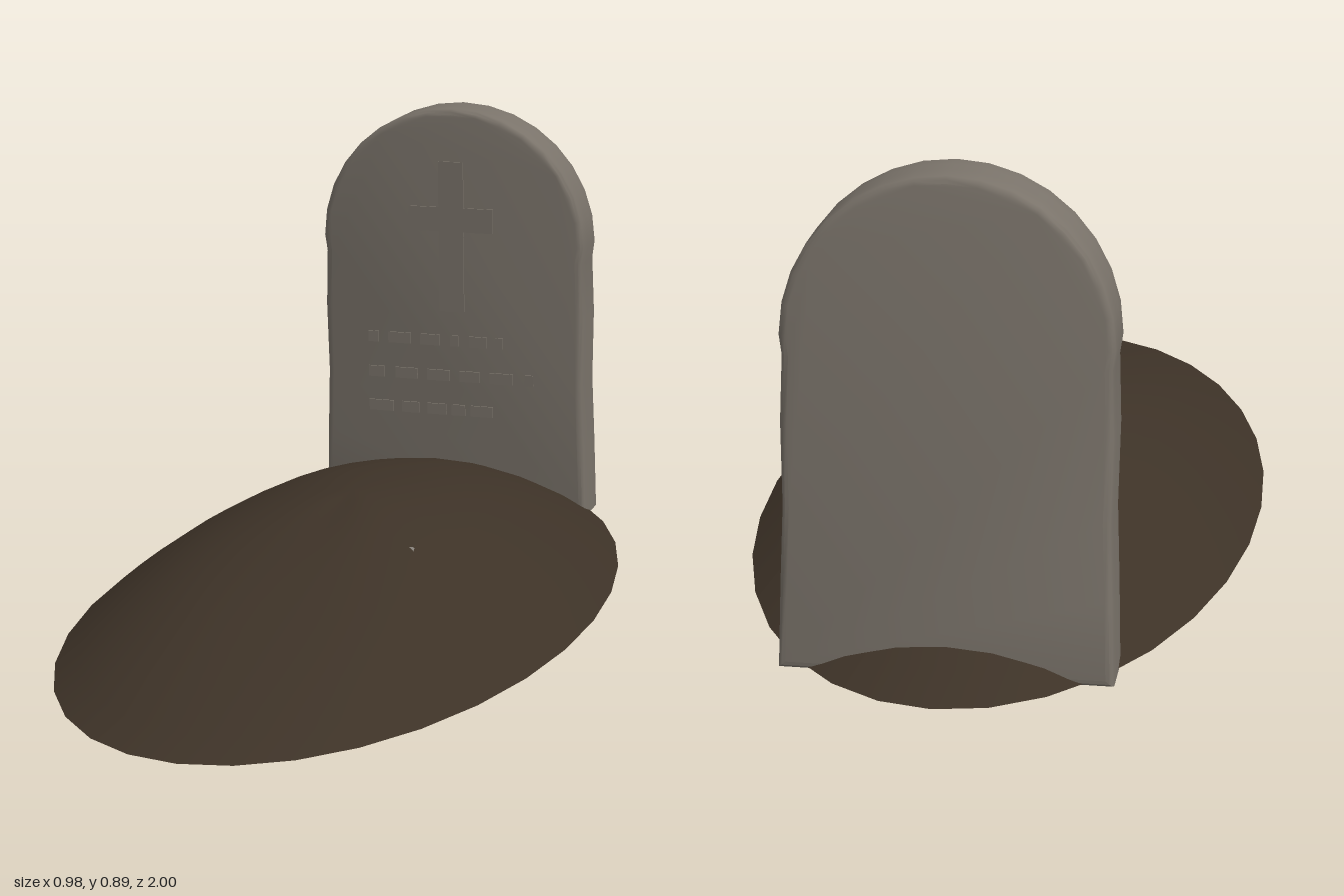
import * as THREE from 'three';
import { mergeVertices, toCreasedNormals } from 'three/addons/utils/BufferGeometryUtils.js';

const stone = new THREE.MeshStandardMaterial({ color: 0x7a736a });
stone.name = 'weathered stone';
const soil = new THREE.MeshStandardMaterial({ color: 0x3d3227, side: THREE.DoubleSide });
soil.name = 'dark soil';
const pebble = new THREE.MeshStandardMaterial({ color: 0x87827b, flatShading: true });
pebble.name = 'pebble grey';

const LEAN = 0.062;    // backward-to-forward slope of the headstone
const FRONT = -0.747;  // z of its front face at ground level
const DEPTH = 0.121;

function part(name, geometry, material) {
  const mesh = new THREE.Mesh(geometry, material);
  mesh.name = name;
  return mesh;
}

// Move every vertex of a geometry by a rule
function warp(geometry, rule) {
  const pos = geometry.attributes.position;
  const v = new THREE.Vector3();
  for (let i = 0; i < pos.count; i++) {
    rule(v.fromBufferAttribute(pos, i));
    pos.setXYZ(i, v.x, v.y, v.z);
  }
  geometry.computeVertexNormals();
  return geometry;
}

const lean = (geometry) => warp(geometry, (v) => { v.z += FRONT + LEAN * v.y; });

// Oval heap, open underneath, sloping more gently toward the front
function createMound() {
  let geo = new THREE.RingGeometry(0, 1, 32, 12).rotateX(-Math.PI / 2);
  geo.deleteAttribute('uv');
  geo.deleteAttribute('normal');
  geo = mergeVertices(geo, 1e-4);
  warp(geo, (v) => {
    const t = Math.min(1, Math.hypot(v.x, v.z));
    const frontness = t > 0 ? Math.max(0, v.z / t) : 0;
    const power = 1.9 - 0.62 * frontness * frontness;
    const lumps = 0.004 * Math.sin(v.x * 9 + 1) * Math.sin(v.z * 7) * (1 - t);
    v.set(v.x * 0.488, 0.01 + 0.225 * (1 - Math.pow(t, power)) + lumps, v.z);
  });
  return part('soilMound', geo, soil);
}

// Arched slab with softened edges and slightly worn sides
function createSlab() {
  const bevel = 0.014;
  const r = 0.29 - bevel;
  const points = [];
  const side = [[0.281, 0.019], [0.277, 0.16], [0.272, 0.3], [0.275, 0.45], [0.271, 0.57]];
  for (const [x, y] of side) points.push(new THREE.Vector2(x, y));
  for (let i = 0; i <= 16; i++) {
    const a = (i / 16) * Math.PI;
    points.push(new THREE.Vector2(r * Math.cos(a), 0.605 + r * Math.sin(a)));
  }
  for (const [x, y] of side.slice().reverse()) points.push(new THREE.Vector2(-x, y));
  const geo = new THREE.ExtrudeGeometry(new THREE.Shape(points), {
    depth: DEPTH - 2 * bevel, steps: 3,
    bevelEnabled: true, bevelThickness: bevel, bevelSize: bevel, bevelSegments: 3,
  });
  geo.translate(0, 0, bevel - DEPTH);
  return part('headstoneSlab', toCreasedNormals(lean(geo), 0.6), stone);
}

// Thin raised panel lying on the leaning front face
function panel(name, points) {
  const shape = new THREE.Shape(points.map(([x, y]) => new THREE.Vector2(x, y)));
  const geo = new THREE.ExtrudeGeometry(shape, { depth: 0.006, bevelEnabled: false });
  geo.translate(0, 0, -0.002);
  return part(name, toCreasedNormals(lean(geo), 0.6), stone);
}

function createCarvings() {
  const group = new THREE.Group();
  group.name = 'carvings';
  group.add(panel('cross', [
    [-0.028, 0.45], [0.027, 0.45], [0.027, 0.627], [0.092, 0.627], [0.092, 0.68], [0.027, 0.68],
    [0.027, 0.78], [-0.028, 0.78], [-0.028, 0.68], [-0.095, 0.68], [-0.095, 0.627], [-0.028, 0.627],
  ]));
  // Rows of dashes: bottom height, then left and right end of each dash
  const rows = [
    [0.372, [[-0.19, -0.167], [-0.145, -0.094], [-0.073, -0.029], [-0.005, 0.013], [0.038, 0.077], [0.096, 0.113]]],
    [0.293, [[-0.19, -0.155], [-0.13, -0.08], [-0.058, -0.007], [0.016, 0.06], [0.083, 0.135], [0.162, 0.18]]],
    [0.216, [[-0.19, -0.135], [-0.116, -0.077], [-0.058, -0.015], [-0.003, 0.027], [0.04, 0.09]]],
  ];
  for (const [y, dashes] of rows) {
    for (const [a, b] of dashes) {
      group.add(panel('dash', [[a, y], [b, y], [b, y + 0.024], [a, y + 0.024]]));
    }
  }
  return group;
}

// Pebbles buried in the heap, one just breaking the surface
function createPebbles() {
  const group = new THREE.Group();
  group.name = 'pebbles';
  const spots = [
    [0.165, 0.148, 0.2, 0.045], [0.08, 0.12, -0.02, 0.032], [-0.165, 0.12, 0.145, 0.035],
    [-0.165, 0.12, -0.285, 0.034], [0.03, 0.115, -0.57, 0.04],
  ];
  spots.forEach(([x, y, z, r], i) => {
    const rock = part('pebble', new THREE.DodecahedronGeometry(r, 0), pebble);
    rock.position.set(x, y, z);
    rock.scale.y = 0.9;
    rock.rotation.set(i * 0.7, i * 1.3, i * 0.4);
    group.add(rock);
  });
  return group;
}

export function createModel() {
  const model = new THREE.Group();
  model.name = 'grave';
  const headstone = new THREE.Group();
  headstone.name = 'headstone';
  headstone.add(createSlab(), createCarvings());
  model.add(createMound(), headstone, createPebbles());
  return model;
}
